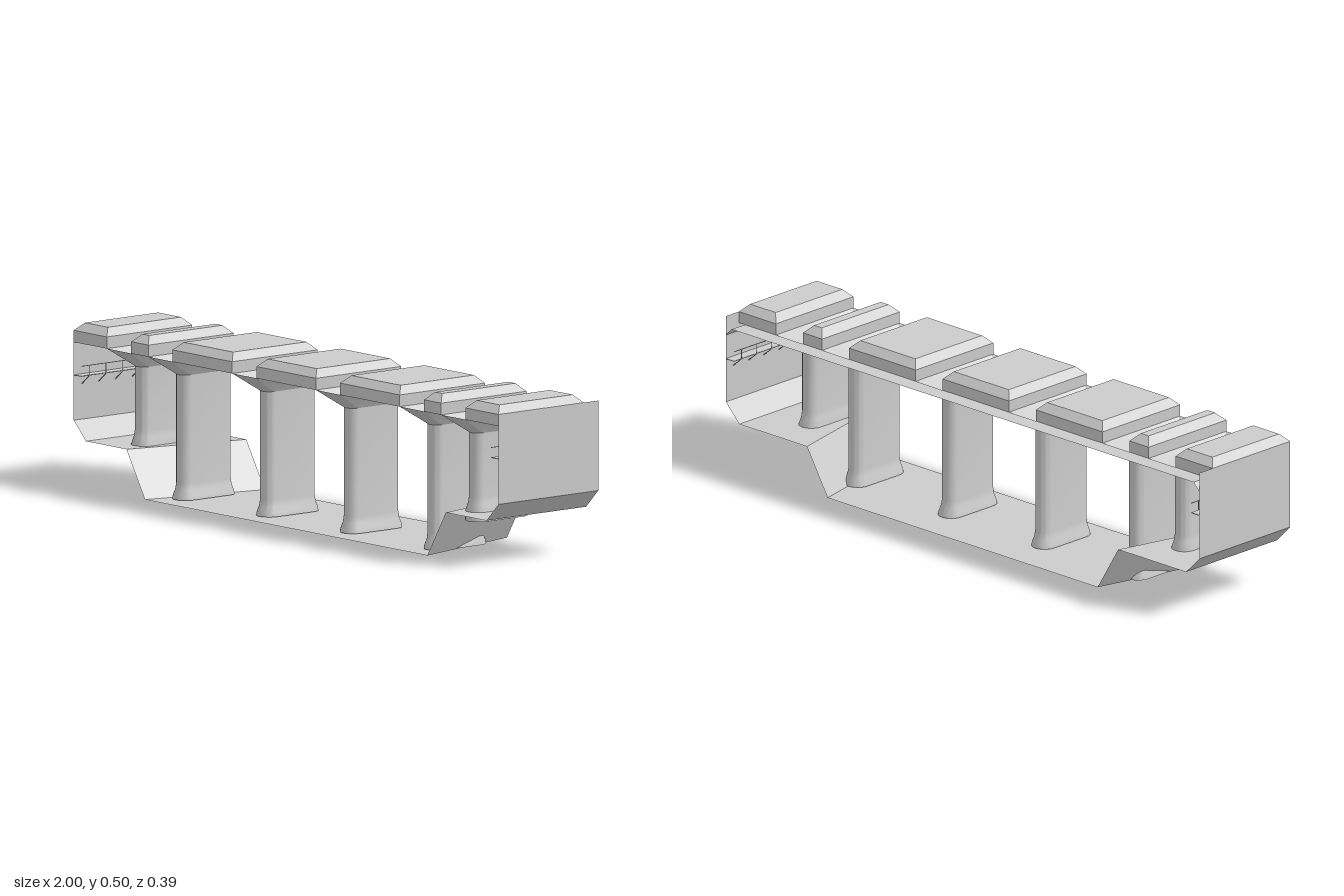
import * as THREE from 'three';
import { toCreasedNormals } from 'three/addons/utils/BufferGeometryUtils.js';

const material = new THREE.MeshStandardMaterial({ color: 0xcccccc, side: THREE.DoubleSide });
const FRONT = 0.197, BACK = -0.197, ROOF_BACK = -0.14; // z limits
const ROOF = 0.44, NECK = 0.385;                       // roof level, foot of the funnels
const PILLARS = [-0.787, -0.592, -0.197, 0.197, 0.592, 0.787];
const GAP = 0.057;                                     // half width of the gap above a pillar
const MID_Z = 0.027;                                   // centre line of the pillars

// Skin a series of rings (arrays of [x, y, z]) with the same number of points.
function loft(rings, closed = true, crease = 0.1) {
  const pos = [];
  const tri = (...p) => {
    const [a, b, c] = p.map(v => new THREE.Vector3(...v));
    if (b.clone().sub(a).cross(c.clone().sub(a)).length() < 1e-9) return;
    for (const v of p) pos.push(...v);
  };
  for (let r = 0; r < rings.length - 1; r++) {
    const lo = rings[r], hi = rings[r + 1], n = lo.length;
    for (let i = 0; i < (closed ? n : n - 1); i++) {
      const j = (i + 1) % n;
      tri(lo[i], lo[j], hi[j]);
      tri(lo[i], hi[j], hi[i]);
    }
  }
  const geometry = new THREE.BufferGeometry();
  geometry.setAttribute('position', new THREE.Float32BufferAttribute(pos, 3));
  return toCreasedNormals(geometry, crease);
}

function add(group, name, geometry) {
  const mesh = new THREE.Mesh(geometry, material);
  mesh.name = name;
  group.add(mesh);
  return mesh;
}

// Thin square bar between two points.
function bar(group, name, from, to, size = 0.002) {
  const a = new THREE.Vector3(...from), b = new THREE.Vector3(...to);
  const mesh = add(group, name, new THREE.BoxGeometry(size, size, a.distanceTo(b)));
  mesh.position.copy(a).lerp(b, 0.5);
  mesh.lookAt(b);
}

const rect = (x0, x1, z0, z1, y) => [[x0, y, z1], [x1, y, z1], [x1, y, z0], [x0, y, z0]];

// Walk the four quadrants: f(angle, signX, signZ)
function quadrants(f, steps = 6) {
  const ring = [];
  [[1, 1], [1, -1], [-1, -1], [-1, 1]].forEach(([sx, sz], q) => {
    for (let j = 0; j <= steps; j++) ring.push(f((q + j / steps) * Math.PI / 2, sx, sz));
  });
  return ring;
}

// Rounded slot outline of a pillar: half width w, half length l.
const slot = (x, y, w, l) => quadrants((t, sx, sz) =>
  [x + w * Math.sin(t), y, MID_Z + sz * (l - w) + w * Math.cos(t)]);

// Pillar with a flared foot, opening upwards into a rectangular funnel.
function pillar(x) {
  const group = new THREE.Group();
  group.name = 'pillar';
  const outer = Math.abs(x) > 0.7, foot = outer ? 0.114 : 0.002;
  const flare = outer
    ? [[0, 0.04, 0.111], [0.03, 0.039, 0.11], [0.055, 0.031, 0.102], [0.075, 0.028, 0.099]]
    : [[0, 0.04, 0.111], [0.012, 0.038, 0.109], [0.03, 0.031, 0.102], [0.05, 0.028, 0.099]];
  const rings = flare.map(([h, w, l]) => slot(x, foot + h, w, l));
  rings.push(slot(x, NECK, 0.028, 0.099));
  add(group, 'shaft', loft(rings, true, 0.6));
  const rim = quadrants((t, sx, sz) => [x + sx * GAP, ROOF, sz > 0 ? FRONT : ROOF_BACK]);
  add(group, 'funnel', loft([slot(x, NECK, 0.028, 0.099), rim], true, 0.5));
  return group;
}

// Hollow roof block with chamfered top edges.
function roofBlock(x0, x1) {
  const group = new THREE.Group(), c = 0.024;
  group.name = 'roofBlock';
  const top = rect(x0 + c, x1 - c, ROOF_BACK + c, FRONT - c, 0.5);
  add(group, 'sides', loft([
    rect(x0, x1, ROOF_BACK, FRONT, ROOF), rect(x0, x1, ROOF_BACK, FRONT, 0.476), top]));
  add(group, 'lid', loft([[top[0], top[1]], [top[3], top[2]]], false));
  return group;
}

// Service walkway on the inside of an end wall.
function walkway(s) {
  const group = new THREE.Group(), inner = s * 0.965;
  group.name = 'walkway';
  add(group, 'deck', new THREE.BoxGeometry(0.034, 0.002, 0.394)).position.set(s * 0.982, 0.339, 0);
  bar(group, 'handrail', [inner, 0.37, BACK], [inner, 0.37, FRONT]);
  for (let i = 0; i < 6; i++) {
    const z = -0.165 + i * 0.066;
    bar(group, 'bracket', [inner, 0.338, z], [s * 0.999, 0.31, z]);
    bar(group, 'railPost', [inner, 0.34, z], [inner, 0.37, z], 0.0015);
  }
  return group;
}

export function createModel() {
  const model = new THREE.Group();

  // Thin outer sheets, from front edge to back edge
  const sheet = (name, a, b, a2 = a, b2 = b) => add(model, name, loft([
    [[...a, FRONT], [...b, FRONT]], [[...a2, BACK], [...b2, BACK]]], false));
  sheet('floor', [-0.665, 0], [0.665, 0], [-0.57, 0], [0.57, 0]);
  for (const s of [-1, 1]) {
    sheet('endWall', [s, 0.476], [s, 0.2]);
    sheet('lowerBevel', [s, 0.2], [s * 0.943, 0.143]);
    sheet('shelf', [s * 0.943, 0.143], [s * 0.752, 0.143], [s * 0.943, 0.143], [s * 0.657, 0.143]);
    sheet('ramp', [s * 0.752, 0.143], [s * 0.665, 0], [s * 0.657, 0.143], [s * 0.57, 0]);
    model.add(walkway(s));
  }

  // Flat ledge behind the roof blocks, turned down at both ends
  const ledge = [[-1, 0.415], [-0.975, ROOF], [0.975, ROOF], [1, 0.415]];
  add(model, 'backLedge', loft([ROOF_BACK, BACK].map(z => ledge.map(p => [...p, z])), false));

  // Pillars, with the roof blocks filling the spaces between them
  for (const x of PILLARS) model.add(pillar(x));
  const edges = [-1, ...PILLARS.flatMap(x => [x - GAP, x + GAP]), 1];
  for (let i = 0; i < edges.length; i += 2) model.add(roofBlock(edges[i], edges[i + 1]));

  // Small lamps hanging under the three wide blocks
  for (const x of [-0.394, 0, 0.394]) {
    bar(model, 'lampRod', [x, 0.5, MID_Z], [x, 0.43, MID_Z], 0.0015);
    add(model, 'lamp', new THREE.CylinderGeometry(0.002, 0.006, 0.006, 10)).position.set(x, 0.428, MID_Z);
  }
  return model;
}
